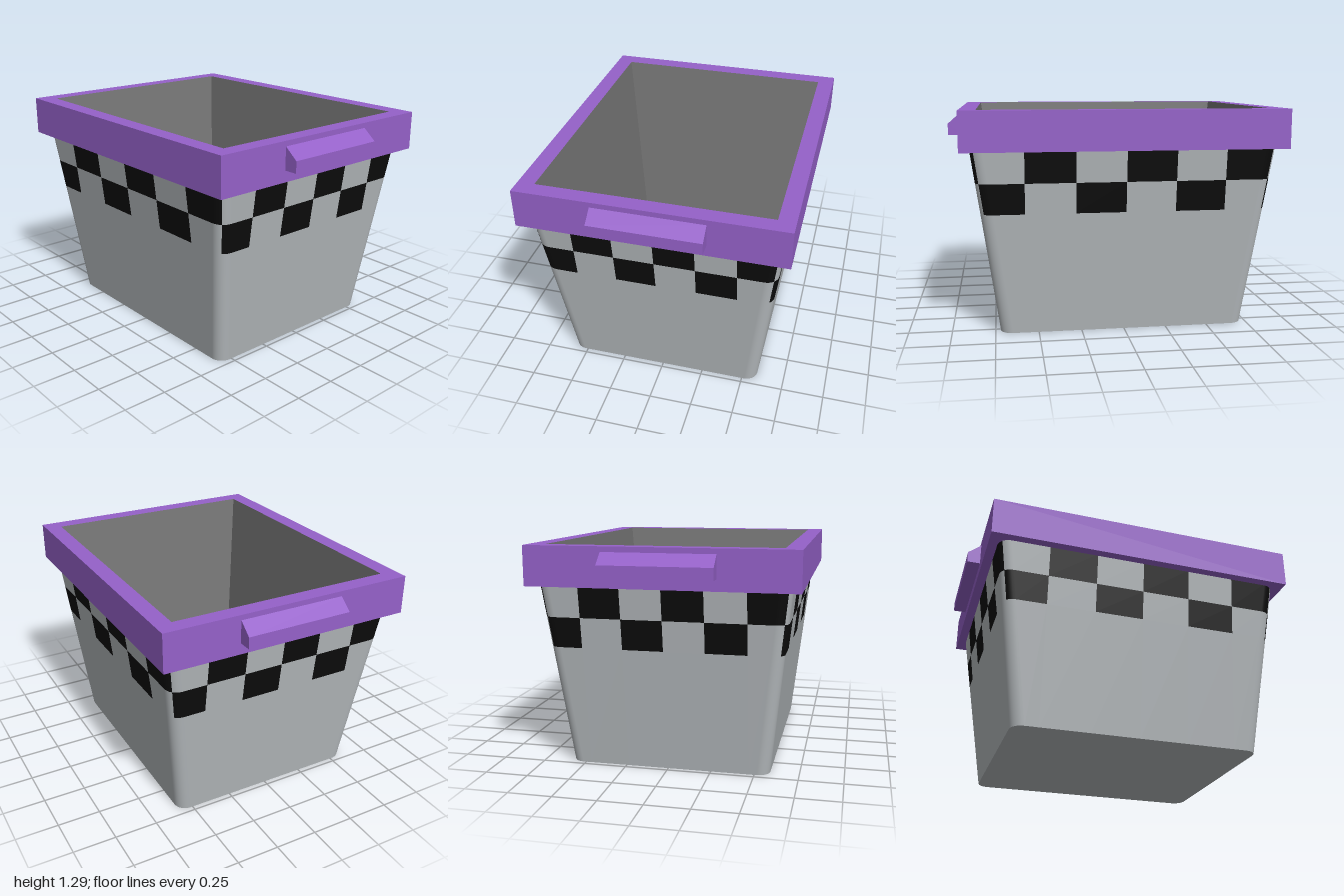
import * as THREE from 'three';

const material = (name, color) => {
  const m = new THREE.MeshStandardMaterial({ color });
  m.name = name;
  return m;
};

const part = (name, geometry, mat) => {
  const mesh = new THREE.Mesh(geometry, mat);
  mesh.name = name;
  return mesh;
};

const WALL_TOP = 1.075, RADIUS = 0.07;
const halfX = y => 0.72 + 0.14 * y;
const halfZ = y => 0.585 + 0.113 * y;

// One wall's outline at height y, from mid-corner to mid-corner, as [u, outward, angle].
// The flat stretch is cut at the edges of the checks.
function wallOutline(hu, hd, cell) {
  const pts = [];
  const arc = (side, from) => {
    for (let i = 0; i <= 4; i++) {
      const a = from + (i / 4) * (Math.PI / 4);
      pts.push([side * (hu - RADIUS) + RADIUS * Math.sin(a), hd - RADIUS + RADIUS * Math.cos(a), a]);
    }
  };
  arc(-1, -Math.PI / 4);
  for (let i = -2; i <= 2; i++) pts.push([i * cell, hd, 0]);
  arc(1, 0);
  return pts;
}

// Outline of wall k (front, +x, back, -x) turned into model space
function wallRow(k, y) {
  const wide = k % 2 === 0;
  const pts = wallOutline(wide ? halfX(y) : halfZ(y), wide ? halfZ(y) : halfX(y), wide ? 0.286 : 0.234);
  const up = new THREE.Vector3(0, 1, 0), turn = k * Math.PI / 2;
  return pts.map(([u, d, a]) => ({
    p: new THREE.Vector3(u, y, d).applyAxisAngle(up, turn),
    n: new THREE.Vector3(Math.sin(a), -0.127, Math.cos(a)).normalize().applyAxisAngle(up, turn),
  }));
}

// Tapered walls; checks selects the black squares, otherwise the plain remainder
function wallGeometry(checks) {
  const levels = [0, 0.71, 0.885, WALL_TOP];
  const pos = [], nor = [];
  for (let k = 0; k < 4; k++) {
    const rows = levels.map(y => wallRow(k, y));
    for (let r = 0; r < 3; r++) {
      for (let s = 0; s < rows[r].length - 1; s++) {
        const cell = THREE.MathUtils.clamp(s - 4, 0, 5);
        const black = r > 0 && cell % 2 === r - 1;
        if (black !== checks) continue;
        const a = rows[r][s], b = rows[r][s + 1], c = rows[r + 1][s + 1], d = rows[r + 1][s];
        for (const v of [a, b, c, a, c, d]) {
          pos.push(...v.p.toArray());
          nor.push(...v.n.toArray());
        }
      }
    }
  }
  const g = new THREE.BufferGeometry();
  g.setAttribute('position', new THREE.Float32BufferAttribute(pos, 3));
  g.setAttribute('normal', new THREE.Float32BufferAttribute(nor, 3));
  return g;
}

function baseGeometry() {
  const pts = [];
  for (let k = 0; k < 4; k++) {
    for (const { p } of wallRow(k, 0).slice(0, -1)) pts.push(new THREE.Vector2(p.x, p.z));
  }
  return new THREE.ShapeGeometry(new THREE.Shape(pts)).rotateX(Math.PI / 2);
}

// Inside of the tub: four sloping walls and a floor, all facing inwards
function liningGeometry() {
  const ring = (x, y, z) => [[-x, y, z], [x, y, z], [x, y, -z], [-x, y, -z]];
  const lo = ring(0.645, 0.03, 0.512), hi = ring(0.828, 1.29, 0.66);
  const quads = [lo];
  for (let i = 0; i < 4; i++) {
    const j = (i + 1) % 4;
    quads.push([lo[j], lo[i], hi[i], hi[j]]);
  }
  const pos = quads.flatMap(([a, b, c, d]) => [a, b, c, a, c, d].flat());
  const g = new THREE.BufferGeometry();
  g.setAttribute('position', new THREE.Float32BufferAttribute(pos, 3));
  g.computeVertexNormals();
  return g;
}

const rectangle = (P, x, z) =>
  new P([[-x, -z], [x, -z], [x, z], [-x, z]].map(([a, b]) => new THREE.Vector2(a, b)));

function rimGeometry() {
  const shape = rectangle(THREE.Shape, 0.923, 0.757);
  shape.holes.push(rectangle(THREE.Path, 0.828, 0.66));
  return new THREE.ExtrudeGeometry(shape, { depth: 0.225, bevelEnabled: false })
    .rotateX(-Math.PI / 2).translate(0, 1.065, 0);
}

function handleGeometry() {
  const profile = [[0.91, 1.13], [1, 1.13], [1, 1.197], [0.923, 1.26], [0.91, 1.26]];
  const shape = new THREE.Shape(profile.map(([x, y]) => new THREE.Vector2(x, y)));
  return new THREE.ExtrudeGeometry(shape, { depth: 0.63, bevelEnabled: false }).translate(0, 0, -0.315);
}

export function createModel() {
  const grey = material('light grey', 0xb5babd);
  const black = material('black', 0x0c0c0c);
  const purple = material('purple', 0x9561c9);
  const darkGrey = material('dark grey', 0x757575);

  const model = new THREE.Group();
  model.name = 'tub';
  model.add(
    part('walls', wallGeometry(false), grey),
    part('checks', wallGeometry(true), black),
    part('base', baseGeometry(), grey),
    part('lining', liningGeometry(), darkGrey),
    part('rim', rimGeometry(), purple),
  );

  // Grip on each end of the rim
  const grip = handleGeometry();
  ['leftHandle', 'rightHandle'].forEach((name, i) => {
    const handle = part(name, grip, purple);
    handle.rotation.y = i * Math.PI;
    model.add(handle);
  });
  return model;
}
